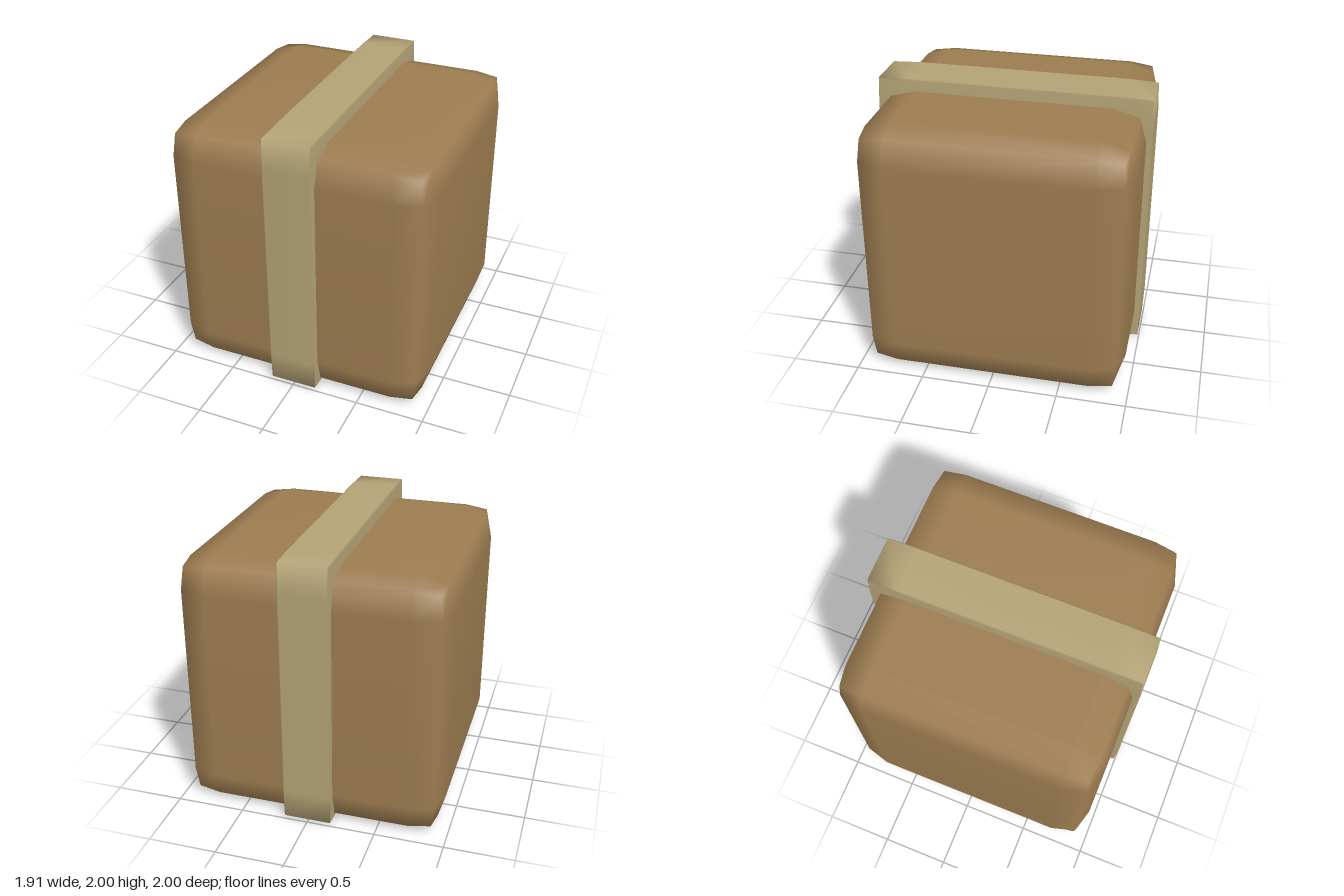
import * as THREE from 'three';
import { mergeVertices } from 'three/addons/utils/BufferGeometryUtils.js';

// Box with a two-step bevel: the flat of each face stops `bevel` short of the rim,
// edges are pulled in by `edge` and corners by `corner`.
function bevelledBlock(half, bevel, edge, corner) {
  let geo = new THREE.BoxGeometry(2, 2, 2, 3, 3, 3);
  geo.deleteAttribute('normal');
  geo.deleteAttribute('uv');
  geo = mergeVertices(geo, 1e-3);
  const pos = geo.attributes.position;
  for (let i = 0; i < pos.count; i++) {
    const p = [pos.getX(i), pos.getY(i), pos.getZ(i)];
    const outer = p.filter((v) => Math.abs(v) > 0.9).length;
    const inset = [0, 0, edge, corner][outer];
    const q = p.map((v, a) =>
      Math.sign(v) * (half[a] - (Math.abs(v) > 0.9 ? inset : bevel[a])));
    pos.setXYZ(i, ...q);
  }
  geo.computeVertexNormals();
  return geo;
}

function part(name, geometry, color, y) {
  const mesh = new THREE.Mesh(geometry, new THREE.MeshStandardMaterial({ color }));
  mesh.name = name;
  mesh.position.y = y;
  return mesh;
}

export function createModel() {
  const group = new THREE.Group();
  group.name = 'strappedBox';

  // Soft-cornered box body
  const body = bevelledBlock([0.953, 0.955, 0.955], [0.235, 0.235, 0.235], 0.052, 0.07);
  group.add(part('boxBody', body, 0x9c7c50, 0.955));

  // Strap over the top, front and back, its underside just inside the body
  const strap = bevelledBlock([0.188, 0.995, 1], [0.02, 0.23, 0.23], 0.01, 0.014);
  group.add(part('strap', strap, 0xb3a275, 1.005));

  return group;
}
